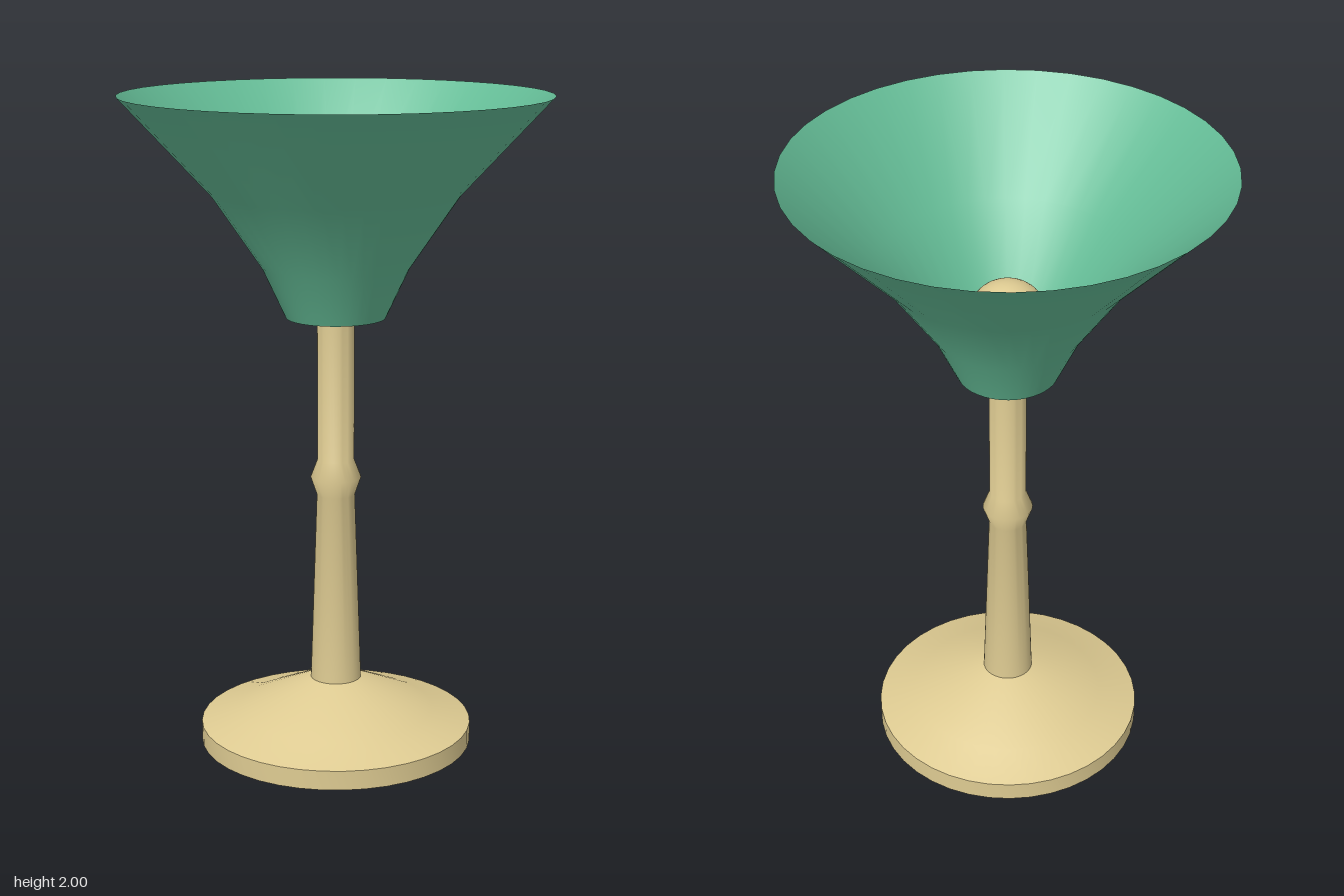
import * as THREE from 'three';
import { toCreasedNormals } from 'three/addons/utils/BufferGeometryUtils.js';

const SEGMENTS = 40;

// Turn a [radius, height] profile about the y axis
function turned(name, profile, material, crease = 0.7) {
  const points = profile.map(([r, y]) => new THREE.Vector2(r, y));
  const lathe = new THREE.LatheGeometry(points, SEGMENTS);
  const mesh = new THREE.Mesh(toCreasedNormals(lathe, crease), material);
  mesh.name = name;
  return mesh;
}

export function createModel() {
  const lamp = new THREE.Group();
  lamp.name = 'tableLamp';

  const body = new THREE.MeshStandardMaterial({ color: 0xdecb92 });
  const cloth = new THREE.MeshStandardMaterial({ color: 0x64bc96, side: THREE.DoubleSide });

  // Round foot: flat underside, short rim, sloping top
  lamp.add(turned('base', [
    [0, 0], [0.42, 0], [0.42, 0.06], [0.3, 0.1], [0.08, 0.2], [0, 0.2],
  ], body, 0.8));

  // Tapered stem with a ring partway up
  lamp.add(turned('stem', [
    [0.078, 0.2], [0.058, 0.79], [0.077, 0.845], [0.056, 0.9], [0.056, 1.36],
  ], body, 1.2));

  // Flared socket that holds the bulb and meets the shade
  lamp.add(turned('socket', [
    [0.056, 1.35], [0.15, 1.42], [0.12, 1.47], [0, 1.47],
  ], body));

  // Round bulb
  const bulb = new THREE.Mesh(new THREE.SphereGeometry(0.12, SEGMENTS, 20), body);
  bulb.name = 'bulb';
  bulb.position.y = 1.52;
  lamp.add(bulb);

  // Open flaring shade
  lamp.add(turned('shade', [
    [0.15, 1.34], [0.22, 1.49], [0.37, 1.71], [0.64, 2],
  ], cloth));

  return lamp;
}
